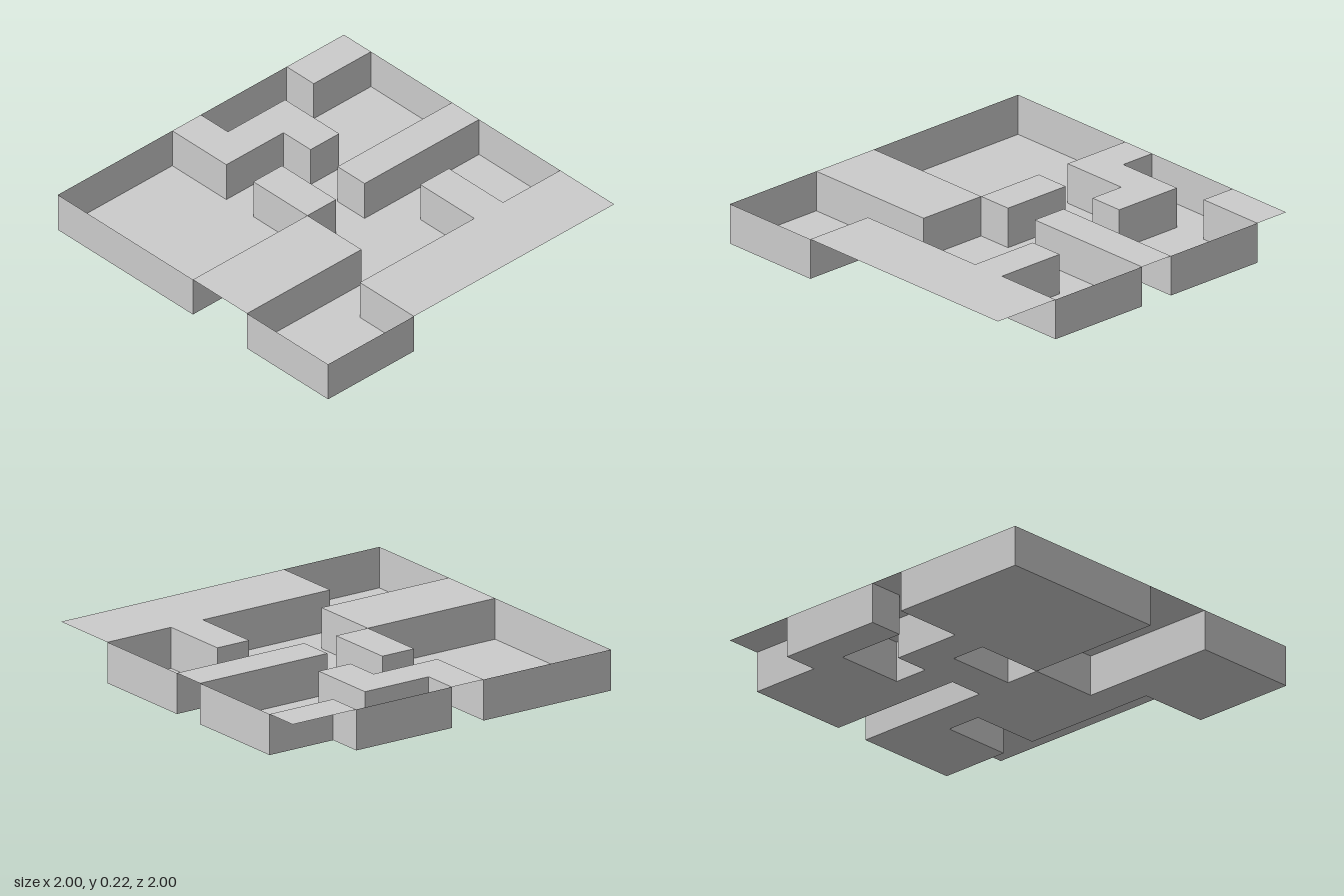
import * as THREE from 'three';
import { mergeGeometries } from 'three/addons/utils/BufferGeometryUtils.js';

const HEIGHT = 0.22;

// Outline of the sunken floor as [x, z]
const PIT = [
  [-1, -1], [-0.2, -1], [-0.2, -0.6], [0.2, -0.6], [0.2, -0.4], [0.4, -0.4], [0.4, -0.8], [0, -0.8], [0, -1],
  [0.6, -1], [0.6, -0.8], [1, -0.8], [1, -0.2], [0.2, -0.2], [0.2, 0], [1, 0],
  [1, 0.6], [0.6, 0.6], [0.6, 0.2], [0.4, 0.2], [0.4, 0.6], [-0.4, 0.6], [-0.4, 1],
  [-1, 1], [-1, 0.4], [-0.2, 0.4], [-0.2, 0],
  [0, 0], [0, -0.4], [-0.2, -0.4], [-0.2, 0], [-1, 0],
];

// Raised plateaus, level with the rim
const PLATEAUS = {
  backBend: [[-0.2, -1], [0, -1], [0, -0.8], [0.4, -0.8], [0.4, -0.4], [0.2, -0.4], [0.2, -0.6], [-0.2, -0.6]],
  backCorner: [[0.6, -1], [1, -1], [1, -0.8], [0.6, -0.8]],
  sideBar: [[0.2, -0.2], [1, -0.2], [1, 0], [0.2, 0]],
  centreBlock: [[-0.2, -0.4], [0, -0.4], [0, 0], [-0.2, 0]],
  sideSlab: [[-1, 0], [-0.2, 0], [-0.2, 0.4], [-1, 0.4]],
  frontPlateau: [[-0.4, 0.6], [0.4, 0.6], [0.4, 0.2], [0.6, 0.2], [0.6, 0.6], [1, 0.6], [1, 1], [-0.4, 1]],
};

// Flat horizontal sheet facing up
function sheet(points, y) {
  const shape = new THREE.Shape(points.map(([x, z]) => new THREE.Vector2(x, -z)));
  return new THREE.ShapeGeometry(shape).rotateX(-Math.PI / 2).translate(0, y, 0);
}

// Upright wall along each edge of a closed outline, facing inwards
function walls(points) {
  return mergeGeometries(points.map(([x0, z0], i) => {
    const [x1, z1] = points[(i + 1) % points.length];
    const dx = x1 - x0, dz = z1 - z0;
    return new THREE.PlaneGeometry(Math.hypot(dx, dz), HEIGHT)
      .rotateY(Math.atan2(-dz, dx))
      .translate((x0 + x1) / 2, HEIGHT / 2, (z0 + z1) / 2);
  }));
}

export function createModel() {
  const group = new THREE.Group();
  const material = new THREE.MeshStandardMaterial({ color: 0xcccccc, side: THREE.DoubleSide, flatShading: true });
  const add = (name, geometry) => {
    const mesh = new THREE.Mesh(geometry, material);
    mesh.name = name;
    group.add(mesh);
  };

  add('sunkenFloor', sheet(PIT, 0));
  add('pitWalls', walls(PIT));
  for (const [name, points] of Object.entries(PLATEAUS)) add(name, sheet(points, HEIGHT));
  return group;
}
